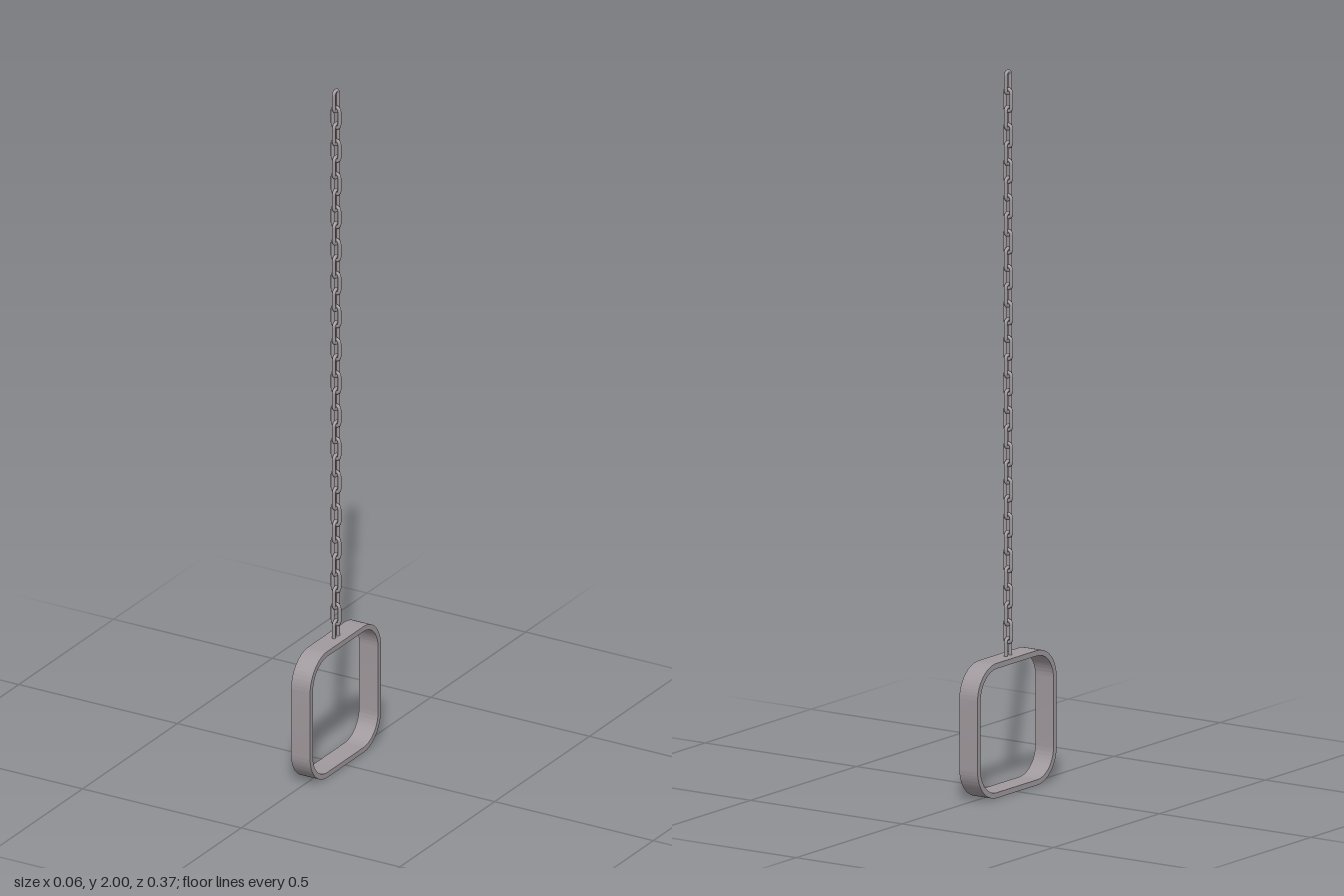
import * as THREE from 'three';
import { toCreasedNormals } from 'three/addons/utils/BufferGeometryUtils.js';

// Rounded rectangle centred on the origin, half sizes w and h, corner radius r
function roundedRect(PathType, w, h, r) {
  const p = new PathType();
  p.moveTo(w, 0);
  p.lineTo(w, h - r);
  p.absarc(w - r, h - r, r, 0, Math.PI / 2);
  p.lineTo(-w + r, h);
  p.absarc(-w + r, h - r, r, Math.PI / 2, Math.PI);
  p.lineTo(-w, -h + r);
  p.absarc(-w + r, -h + r, r, Math.PI, Math.PI * 1.5);
  p.lineTo(w - r, -h);
  p.absarc(w - r, -h + r, r, Math.PI * 1.5, Math.PI * 2);
  p.closePath();
  return p;
}

export function createModel() {
  const group = new THREE.Group();
  const material = new THREE.MeshStandardMaterial({ color: 0xa0999d });

  // Flat-band handle: a rounded square loop in the yz plane
  const size = 0.187, thickness = 0.015, radius = 0.092, width = 0.06;
  const outline = roundedRect(THREE.Shape, size, size, radius);
  outline.holes.push(roundedRect(THREE.Path, size - thickness, size - thickness, radius - thickness));
  let band = new THREE.ExtrudeGeometry(outline, { depth: width, bevelEnabled: false, curveSegments: 24 });
  band.translate(0, 0, -width / 2);
  band.rotateY(Math.PI / 2);
  band = toCreasedNormals(band, 0.6);
  const handle = new THREE.Mesh(band, material);
  handle.name = 'handle';
  handle.position.y = size;
  group.add(handle);

  // Chain link: round wire bent into a long loop with rounded ends
  const wire = 0.005, halfWidth = 0.016, halfLength = 0.0355;
  const loop = roundedRect(THREE.Path, halfWidth - wire, halfLength - wire, 0.0108);
  const points = loop.getSpacedPoints(40).slice(0, -1).map((p) => new THREE.Vector3(p.x, p.y, 0));
  const linkGeometry = new THREE.TubeGeometry(new THREE.CatmullRomCurve3(points, true), 40, wire, 10, true);

  // Chain: alternate links turned a quarter; the lowest one grips the handle
  const chain = new THREE.Group();
  chain.name = 'chain';
  const count = 33, top = 2 - halfLength, bottom = 0.392;
  for (let i = 0; i < count; i++) {
    const link = new THREE.Mesh(linkGeometry, material);
    link.name = 'chainLink';
    link.position.y = top + (bottom - top) * i / (count - 1);
    link.rotation.y = i % 2 === 0 ? Math.PI / 2 : 0;
    chain.add(link);
  }
  group.add(chain);

  return group;
}
